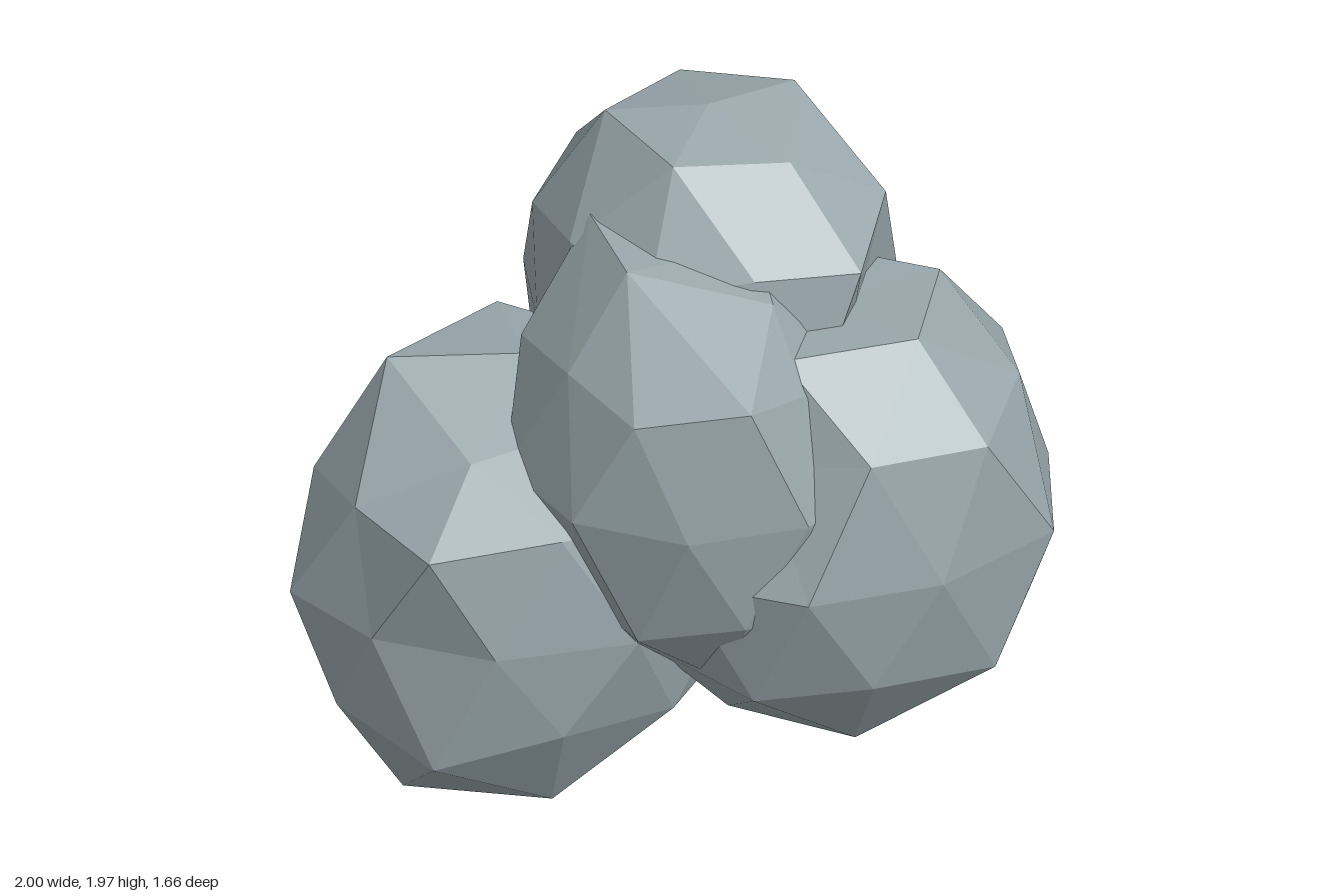
import * as THREE from 'three';

// Unit 42-point faceted ball with its poles on the y axis
function facetedBall() {
  const g = new THREE.IcosahedronGeometry(1, 1);
  g.rotateX(-Math.atan((1 + Math.sqrt(5)) / 2));
  g.rotateY(Math.PI / 2);
  return g;
}

// Boulder: stretched ball with worn poles; nudges are [angle, unit height, dx, dy, dz]
function boulder(name, material, { centre, radius, floor, cap, nudges }) {
  const g = facetedBall();
  const p = g.attributes.position;
  const v = new THREE.Vector3();
  const spot = new THREE.Vector3();
  for (let i = 0; i < p.count; i++) {
    v.fromBufferAttribute(p, i);
    const shift = new THREE.Vector3();
    for (const [deg, h, dx, dy, dz] of nudges) {
      const a = THREE.MathUtils.degToRad(deg);
      const r = Math.sqrt(1 - h * h);
      spot.set(r * Math.cos(a), h, r * Math.sin(a));
      if (spot.distanceTo(v) < 0.1) shift.set(dx, dy, dz);
    }
    v.multiply(radius).add(centre).add(shift);
    v.y = THREE.MathUtils.clamp(v.y, floor, cap);
    p.setXYZ(i, v.x, v.y, v.z);
  }
  g.computeVertexNormals();
  const mesh = new THREE.Mesh(g, material);
  mesh.name = name;
  return mesh;
}

const vec = (x, y, z) => new THREE.Vector3(x, y, z);

// Unit heights of the rings of points between equator and pole
const MAIN = 0.447, MID = 0.5257, RING = 0.8507;

export function createModel() {
  const stone = new THREE.MeshStandardMaterial({ color: 0x98a6ab, flatShading: true });
  stone.name = 'blue grey stone';

  const group = new THREE.Group();
  group.name = 'boulderPile';
  group.add(
    // low boulder at the back
    boulder('backBoulder', stone, {
      centre: vec(-0.32, 0.65, -0.25), radius: vec(0.715, 0.66, 0.58), floor: 0, cap: 1.31,
      nudges: [
        [162, 0, 0.06, 0, -0.03], [126, 0, 0.03, 0, -0.03],
        [180, MID, 0.03, 0, 0], [144, MAIN, -0.03, 0.03, 0.03], [-72, MAIN, 0, 0, 0.03],
        [144, RING, 0, -0.07, 0], [-144, RING, -0.03, 0.09, -0.03], [-72, RING, 0, 0.05, -0.04],
        [144, -MID, -0.03, -0.04, 0.03], [-108, -MAIN, 0, -0.06, -0.03],
        [180, -RING, -0.04, -0.1, 0], [108, -RING, 0, -0.07, 0.02],
      ],
    }),
    // large boulder at the front with a worn flat top
    boulder('frontBoulder', stone, {
      centre: vec(0.38, 0.87, 0.24), radius: vec(0.65, 0.75, 0.59), floor: 0.12, cap: 1.5,
      nudges: [
        [54, 0, 0.03, 0, 0.05], [72, -MID, 0.05, 0, 0.04], [0, -MID, 0.06, -0.01, 0],
        [72, MAIN, 0, 0.04, 0.04], [144, MAIN, 0.1, 0, -0.08], [0, RING, 0.03, -0.03, 0],
        [180, -RING, 0, 0.03, 0],
      ],
    }),
    // boulder on top
    boulder('topBoulder', stone, {
      centre: vec(0.26, 1.31, -0.2), radius: vec(0.55, 0.69, 0.57), floor: 0.67, cap: 1.97,
      nudges: [
        [0, RING, 0, 0.05, 0], [144, RING, 0, 0.04, 0], [-144, RING, 0, 0.04, 0],
        [0, MAIN, -0.03, 0, 0], [72, MAIN, 0, 0.03, 0.07], [36, MID, 0, 0.05, 0.05],
        [54, 0, -0.09, 0, -0.09], [162, 0, 0.06, 0, 0], [-162, 0, 0.06, 0, 0],
        [-108, -MAIN, 0, -0.04, -0.02], [-108, -RING, 0, -0.04, 0.07],
      ],
    }),
    // boulder wedged in the middle, sloping down towards the front
    boulder('middleBoulder', stone, {
      centre: vec(0.04, 1.09, 0.1), radius: vec(0.575, 0.75, 0.555), floor: 0.42, cap: 1.75,
      nudges: [
        [180, -MAIN, 0.09, -0.02, 0], [180, -RING, 0.08, 0, 0], [180, MID, 0.04, -0.02, 0],
        [0, 1, 0, -0.14, 0], [144, RING, 0, 0, -0.18], [-144, RING, 0.06, 0.02, -0.12],
        [72, RING, 0, -0.1, -0.05], [0, RING, -0.12, -0.06, 0], [108, MID, 0, 0, 0.04],
        [72, MAIN, -0.08, 0, -0.06], [36, MID, -0.08, -0.08, -0.07], [0, MAIN, -0.1, 0, 0],
      ],
    }),
  );
  return group;
}
